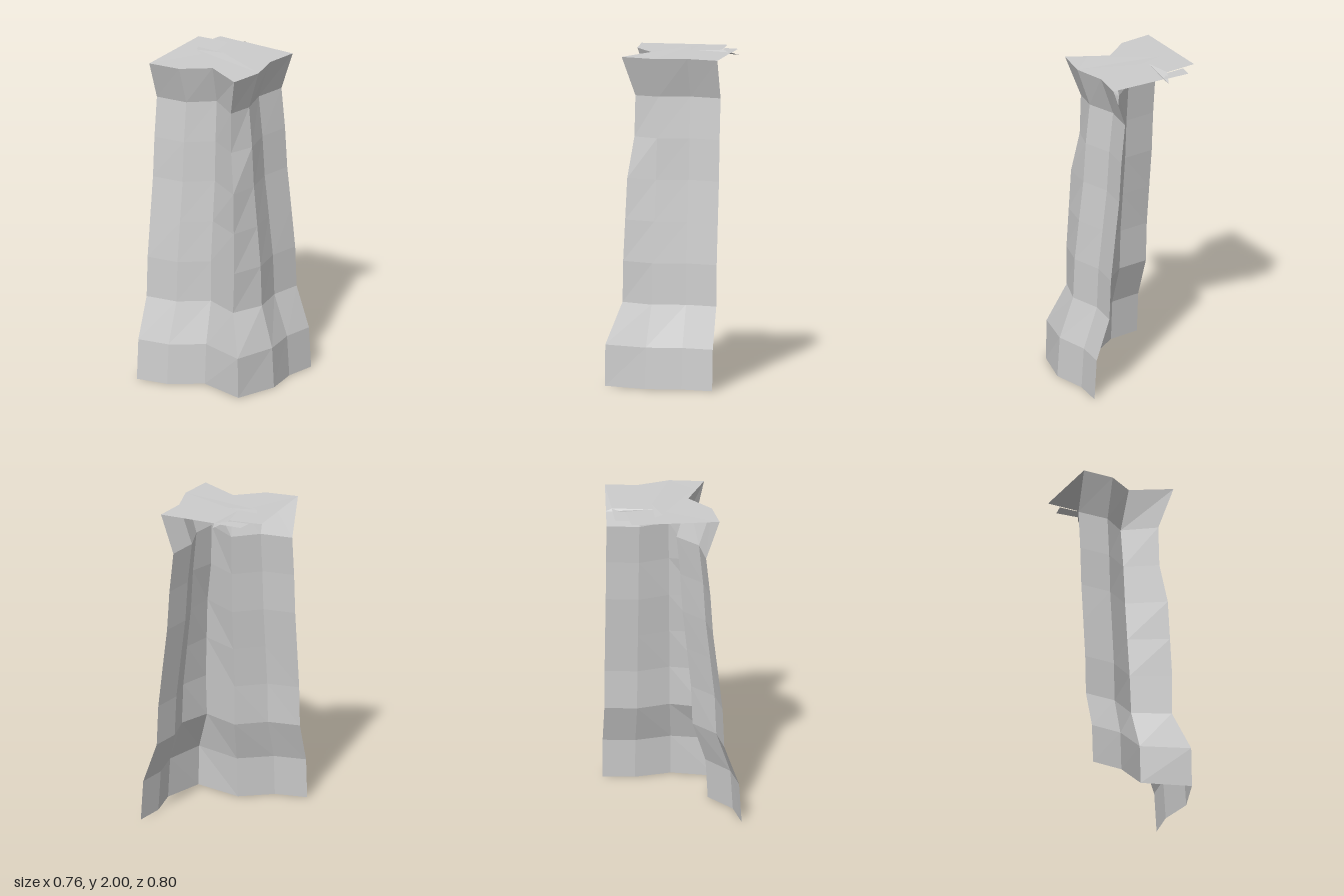
import * as THREE from 'three';

const stone = new THREE.MeshStandardMaterial({ color: 0xcccccc, flatShading: true, side: THREE.DoubleSide });
stone.name = 'pale grey stone';

function meshFrom(name, points, index) {
  const indexed = new THREE.BufferGeometry();
  indexed.setAttribute('position', new THREE.Float32BufferAttribute(points.flat(), 3));
  indexed.setIndex(index);
  const geometry = indexed.toNonIndexed();
  geometry.computeVertexNormals();
  const mesh = new THREE.Mesh(geometry, stone);
  mesh.name = name;
  return mesh;
}

// Each row: height, inset of the walls, corner x, corner z, groove x
const rows = [
  [0, 0, 0.3, 0.325, 0],
  [0.25, 0.015, 0.295, 0.325, 0],
  [0.5, 0.1, 0.205, 0.24, -0.02],
  [0.75, 0.11, 0.21, 0.235, -0.026],
  [1, 0.137, 0.2, 0.225, -0.03],
  [1.25, 0.165, 0.19, 0.215, -0.033],
  [1.5, 0.18, 0.15, 0.18, -0.038],
  [1.75, 0.205, 0.145, 0.175, -0.045],
  [1.99, 0.127, 0.215, 0.243, -0.025],
];

// Plan of one row, from the front wall's outer end round the corner to the back
function rowPoints([y, d, cx, cz, gx]) {
  return [
    [-0.385, y, 0.4 - d * 1.05],
    [-0.185, y, 0.37 - d],
    [gx, y, 0.24 - d * 0.95],
    [cx, y, cz],
    [0.38 - d, y, 0.06 - d * 0.18],
    [0.343 - d * 1.08, y, -0.16],
    [0.37 - d * 1.05, y, -0.355],
  ];
}

// Strip of quads between consecutive rows, columns first to last
function wall(name, first, last) {
  const n = last - first + 1;
  const points = rows.flatMap(r => rowPoints(r).slice(first, last + 1));
  const index = [];
  for (let r = 0; r < rows.length - 1; r++) {
    for (let c = 0; c < n - 1; c++) {
      const a = r * n + c, b = a + 1, e = a + n;
      index.push(a, b, e + 1, a, e + 1, e);
    }
  }
  return meshFrom(name, points, index);
}

// Sheet built as a fan around its first point
function fan(name, points) {
  const index = [];
  for (let i = 1; i < points.length - 1; i++) index.push(0, i, i + 1);
  return meshFrom(name, points, index);
}

export function createModel() {
  const model = new THREE.Group();
  model.name = 'rockColumnCorner';
  model.add(wall('frontWall', 0, 3), wall('rightWall', 3, 6));

  // Ragged top sheet, bounded by the upper rim of both walls
  const rim = rowPoints(rows[rows.length - 1]);
  model.add(fan('topSheet', [
    [-0.16, 1.992, -0.11],
    ...rim,
    [-0.115, 1.99, -0.355],
    [-0.125, 1.976, -0.4],
    [-0.185, 1.995, -0.285],
    [-0.385, 1.996, -0.265],
    rim[0],
  ]));

  // Loose flap at the back and shallow folds on the top
  model.add(fan('backFlap', [
    [-0.305, 1.988, -0.27], [-0.185, 1.988, -0.28], [-0.115, 1.988, -0.355], [-0.29, 1.988, -0.355],
  ]));
  model.add(fan('topFold', [
    [-0.265, 1.999, -0.065], [0.105, 1.994, 0.17], [0.253, 1.991, 0.035], [-0.1, 2, -0.11], [-0.29, 1.997, -0.115],
  ]));
  return model;
}
